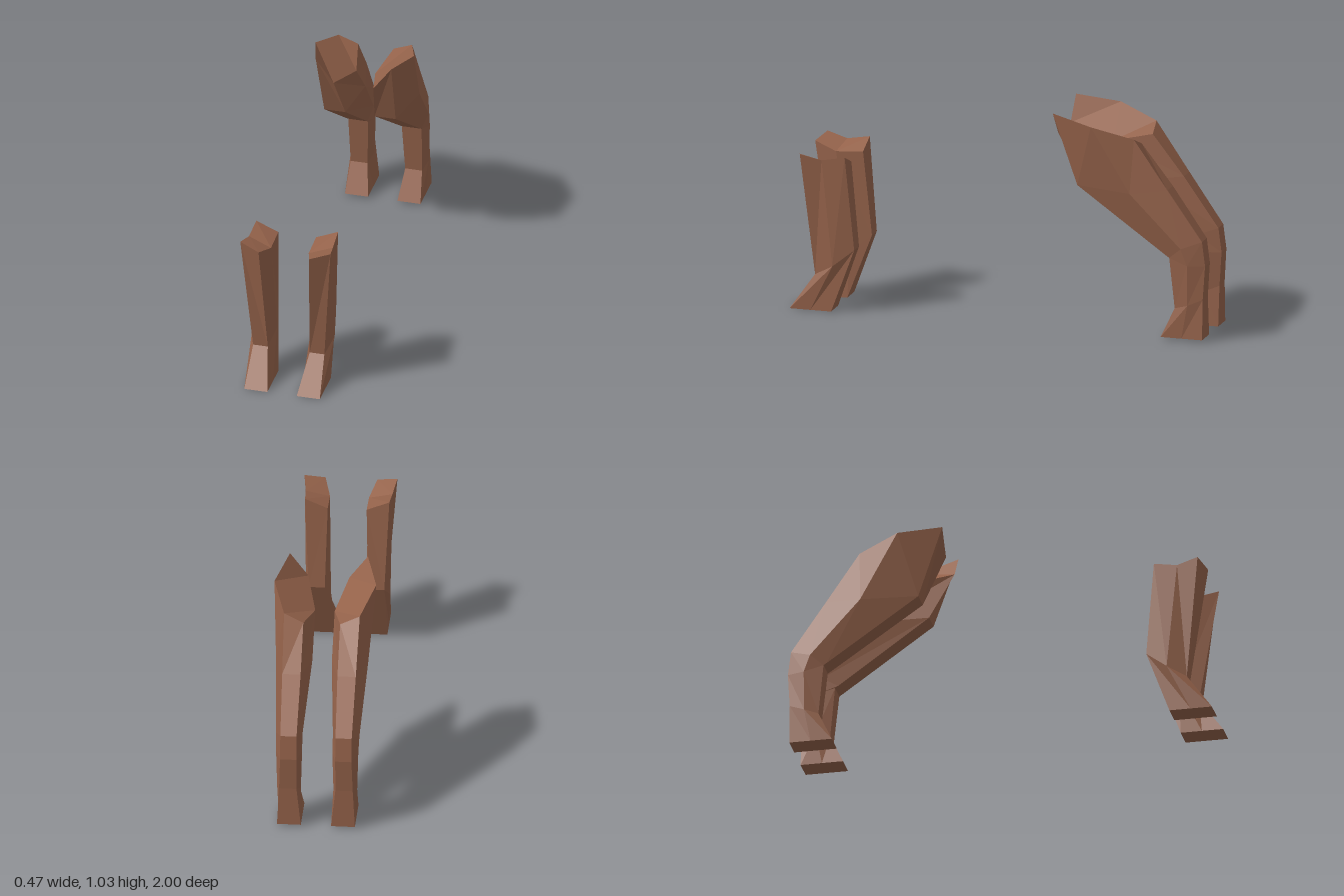
import * as THREE from 'three';

const material = new THREE.MeshStandardMaterial({ color: 0x94624a, flatShading: true });

// Each section holds a front, middle and back pair of corners, listed from foot to top.
// A pair is [innerX, outerX, y, z, outerY, outerZ]; the outer values default to the inner ones.
const frontLeg = [
  [[0.07, 0.18, 0, 1], [0.07, 0.18, 0, 0.9], [0.07, 0.18, 0, 0.8]],
  [[0.1, 0.17, 0.17, 0.88], [0.08, 0.195, 0.22, 0.79], [0.1, 0.175, 0.3, 0.69]],
  [[0.12, 0.215, 0.725, 0.97, 0.75, 0.94], [0.09, 0.2, 0.69, 0.86, 0.725, 0.84], [0.09, 0.195, 0.7, 0.73, 0.745, 0.73]],
];
const hindLeg = [
  [[0.07, 0.18, 0.01, -0.79], [0.07, 0.18, 0.01, -0.89], [0.07, 0.18, 0.01, -0.99]],
  [[0.09, 0.17, 0.15, -0.855], [0.075, 0.185, 0.17, -0.92], [0.09, 0.17, 0.2, -0.99]],
  [[0.08, 0.175, 0.39, -0.83], [0.07, 0.19, 0.36, -0.92], [0.09, 0.165, 0.36, -1]],
  [[0.08, 0.175, 0.4, -0.815], [0.07, 0.193, 0.44, -0.89], [0.09, 0.165, 0.475, -0.985]],
  [[0.07, 0.17, 0.7, -0.385], [0.045, 0.213, 0.69, -0.65], [0.085, 0.17, 0.71, -0.82]],
  [[0.095, 0.18, 0.92, -0.27, 1.035, -0.27], [0.045, 0.235, 0.865, -0.49, 1, -0.47], [0.085, 0.175, 0.9, -0.67, 0.94, -0.66]],
];

// Lofts the six-cornered sections into a closed leg; side is 1 for left, -1 for right
function makeLeg(sections, side, name) {
  const positions = [];
  const index = [];
  const quad = (a, b, c, d) => {
    if (side > 0) index.push(a, b, c, a, c, d);
    else index.push(a, c, b, a, d, c);
  };
  for (const [front, middle, back] of sections) {
    const inner = ([xi, , y, z]) => [side * xi, y, z];
    const outer = ([, xo, y, z, yo = y, zo = z]) => [side * xo, yo, zo];
    positions.push(...inner(front), ...outer(front), ...outer(middle),
      ...outer(back), ...inner(back), ...inner(middle));
  }
  for (let s = 0; s < sections.length - 1; s++) {
    for (let i = 0; i < 6; i++) {
      const a = s * 6 + i;
      const b = s * 6 + (i + 1) % 6;
      quad(a, b, b + 6, a + 6);
    }
  }
  // Sole and top cap
  const t = (sections.length - 1) * 6;
  quad(5, 2, 1, 0);
  quad(4, 3, 2, 5);
  quad(t, t + 1, t + 2, t + 5);
  quad(t + 5, t + 2, t + 3, t + 4);

  const indexed = new THREE.BufferGeometry();
  indexed.setAttribute('position', new THREE.Float32BufferAttribute(positions, 3));
  indexed.setIndex(index);
  const geometry = indexed.toNonIndexed();
  geometry.computeVertexNormals();
  const mesh = new THREE.Mesh(geometry, material);
  mesh.name = name;
  return mesh;
}

export function createModel() {
  const group = new THREE.Group();
  group.name = 'legs';
  for (const [side, label] of [[1, 'left'], [-1, 'right']]) {
    group.add(makeLeg(frontLeg, side, `${label}FrontLeg`));
    group.add(makeLeg(hindLeg, side, `${label}HindLeg`));
  }
  return group;
}
